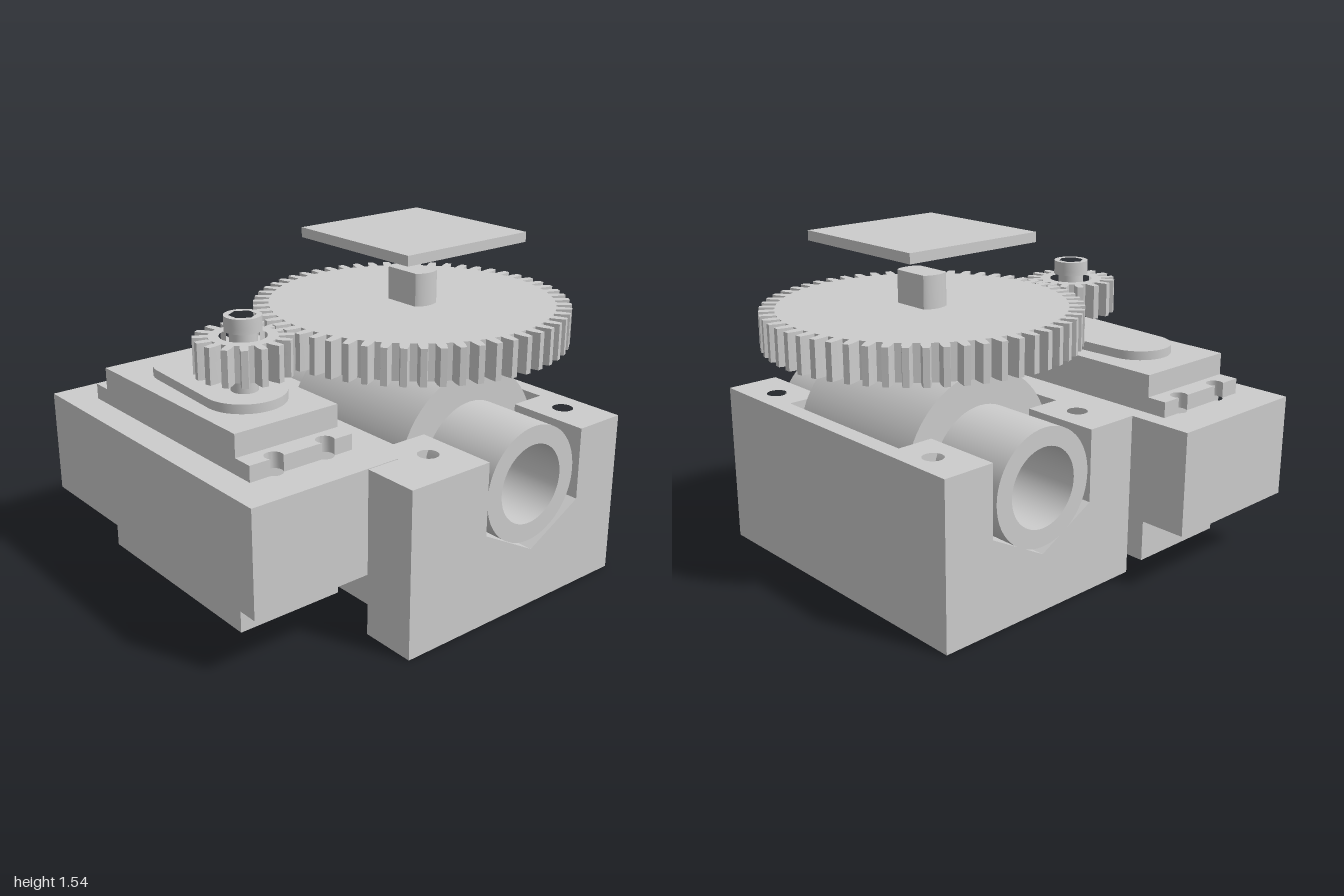
import * as THREE from 'three';
import { toCreasedNormals } from 'three/addons/utils/BufferGeometryUtils.js';

const material = new THREE.MeshStandardMaterial({ color: 0xcccccc });

export function createModel() {
  const model = new THREE.Group();

  const add = (name, geometry, crease = 0.5) => {
    const mesh = new THREE.Mesh(toCreasedNormals(geometry, crease), material);
    mesh.name = name;
    model.add(mesh);
    return mesh;
  };
  const box = (name, x0, x1, y0, y1, z0, z1) => {
    const g = new THREE.BoxGeometry(x1 - x0, y1 - y0, z1 - z0);
    add(name, g.translate((x0 + x1) / 2, (y0 + y1) / 2, (z0 + z1) / 2));
  };
  const disc = (name, x, z, r, y0, y1) =>
    add(name, new THREE.CylinderGeometry(r, r, y1 - y0, 40).translate(x, (y0 + y1) / 2, z));

  // Plan outlines are [x, z] points, extruded upwards from y0 to y1
  const plan = (points) => points.map(([x, z]) => new THREE.Vector2(x, -z));
  const ring = (x, z, r, n = 32, turn = 0) => Array.from({ length: n }, (_, i) => {
    const a = turn + (i / n) * Math.PI * 2;
    return [x + r * Math.cos(a), z + r * Math.sin(a)];
  });
  const slab = (name, outline, y0, y1, holes = []) => {
    const shape = new THREE.Shape(plan(outline));
    shape.holes = holes.map((h) => new THREE.Path(plan(h)));
    const g = new THREE.ExtrudeGeometry(shape, { depth: y1 - y0, bevelEnabled: false });
    return add(name, g.rotateX(-Math.PI / 2).translate(0, y0, 0));
  };

  // Housing: floor layer with hexagonal nut recesses
  const boltX = [-0.14, 0.7], boltZ = [-0.42, 0.71];
  const floorY = 0.12, top = 0.76;
  const left = -0.005, right = 0.567;
  const nuts = boltX.flatMap((x) => boltZ.map((z) => ring(x, z, 0.09, 6)));
  slab('housingFloor', [[-0.27, -0.63], [0.82, -0.63], [0.82, 0.93], [-0.43, 0.93], [-0.43, 0.67], [-0.27, 0.67]],
    0, floorY, nuts);

  // Housing: walls on both sides of the pipe, notched for the valve body
  const bolts = (x) => boltZ.map((z) => ring(x, z, 0.047));
  slab('housingWallRight', [[-0.27, -0.63], [left, -0.63], [left, -0.25], [-0.18, -0.25], [-0.18, 0.54],
    [left, 0.54], [left, 0.93], [-0.43, 0.93], [-0.43, 0.67], [-0.27, 0.67]], floorY, top, bolts(boltX[0]));
  slab('housingWallLeft', [[right, -0.63], [0.82, -0.63], [0.82, 0.93], [right, 0.93], [right, 0.54],
    [0.74, 0.54], [0.74, -0.25], [right, -0.25]], floorY, top, bolts(boltX[1]));

  // Housing: V-shaped cradles under the pipe ends
  for (const [z0, z1] of [[-0.63, -0.25], [0.54, 0.93]]) {
    const v = new THREE.Shape([[left, floorY], [right, floorY], [right, 0.425], [0.281, 0.27], [left, 0.425]]
      .map(([x, y]) => new THREE.Vector2(x, y)));
    add('pipeCradle', new THREE.ExtrudeGeometry(v, { depth: z1 - z0, bevelEnabled: false }).translate(0, 0, z0));
  }

  // Valve: hollow pipe with a wide middle body
  const profile = [[0.182, -0.63], [0.267, -0.63], [0.267, -0.24], [0.42, -0.24], [0.42, 0.53],
    [0.267, 0.53], [0.267, 0.91], [0.182, 0.91], [0.182, -0.63]].map(([r, z]) => new THREE.Vector2(r, z));
  add('valvePipe', new THREE.LatheGeometry(profile, 56).rotateX(Math.PI / 2).translate(0.281, 0.572, 0));

  // Valve stem: round rod with two flats
  const stem = ring(0, 0, 0.113, 48).map(([x, z]) => [0.28 + Math.max(-0.065, Math.min(0.065, x)), 0.143 + z]);
  slab('valveStem', stem, 0.97, 1.37);

  // Motor bracket with screw holes
  const screwX = [-0.737, -0.477], screwZ = [-0.72, 0.45];
  const screws = screwX.flatMap((x) => screwZ.map((z) => ring(x, z, 0.04, 24)));
  slab('motorBracket', [[-1, -0.935], [-0.27, -0.935], [-0.27, 0.665], [-1, 0.665]], 0.28, top, screws);

  // Motor: body, then ears whose screw notches break through the ends
  box('motorBody', -0.87, -0.35, 0.04, 0.935, -0.65, 0.376);
  const ear = (zIn, zEnd, zHole) => {
    const s = Math.sign(zEnd - zIn);
    const points = [[-0.87, zIn], [-0.87, zEnd]];
    const open = Math.acos(Math.abs(zEnd - zHole) / 0.04);
    for (const x of screwX) {
      for (let i = 0; i <= 20; i++) {
        const a = -open - (i / 20) * (Math.PI * 2 - 2 * open);
        points.push([x + 0.04 * Math.sin(a), zHole + s * 0.04 * Math.cos(a)]);
      }
    }
    points.push([-0.35, zEnd], [-0.35, zIn]);
    slab('motorEar', points, top, 0.832);
  };
  ear(-0.64, -0.745, screwZ[0]);
  ear(0.37, 0.473, screwZ[1]);

  // Motor: raised gearbox cover, tapering towards the rear
  const px = -0.61, pz = 0.08;
  const cover = [];
  for (let i = 0; i <= 24; i++) {
    const a = Math.PI + (i / 24) * Math.PI;
    cover.push([px + 0.16 * Math.cos(a), -0.355 + 0.16 * Math.sin(a)]);
  }
  for (let i = 0; i <= 24; i++) {
    const a = (i / 24) * Math.PI;
    cover.push([px + 0.182 * Math.cos(a), pz + 0.182 * Math.sin(a)]);
  }
  slab('gearboxCover', cover, 0.93, 0.977);

  // Spur gears
  const gear = (name, x, z, n, root, tip, y0, y1, turn, holes) => {
    const step = (Math.PI * 2) / n;
    const points = [];
    for (let i = 0; i < n; i++) {
      for (const [f, r] of [[-0.29, root], [-0.26, (root + tip) / 2], [-0.17, tip], [0.17, tip],
        [0.26, (root + tip) / 2], [0.29, root]]) {
        const a = turn + (i + f) * step;
        points.push([x + r * Math.cos(a), z + r * Math.sin(a)]);
      }
    }
    slab(name, points, y0, y1, holes);
  };
  gear('valveGear', 0.28, 0.139, 56, 0.65, 0.72, 1.057, 1.22, 0, []);
  gear('pinionBase', px, pz, 16, 0.148, 0.213, 1.055, 1.15, Math.PI / 16, []);
  gear('pinionRim', px, pz, 16, 0.148, 0.213, 1.15, 1.215, Math.PI / 16, [ring(px, pz, 0.102)]);

  // Pinion shaft and socket-head screw
  disc('pinionShaft', px, pz, 0.06, 0.97, 1.25);
  disc('screwHeadBase', px, pz, 0.081, 1.24, 1.26);
  slab('screwHead', ring(px, pz, 0.081, 40), 1.26, 1.305, [ring(px, pz, 0.06, 6, Math.PI / 6)]);

  // Square top plate with a short peg
  box('topPlate', -0.075, 0.63, 1.5, 1.545, -0.212, 0.495);
  disc('platePeg', 0.279, 0.143, 0.076, 1.455, 1.5);

  return model;
}
